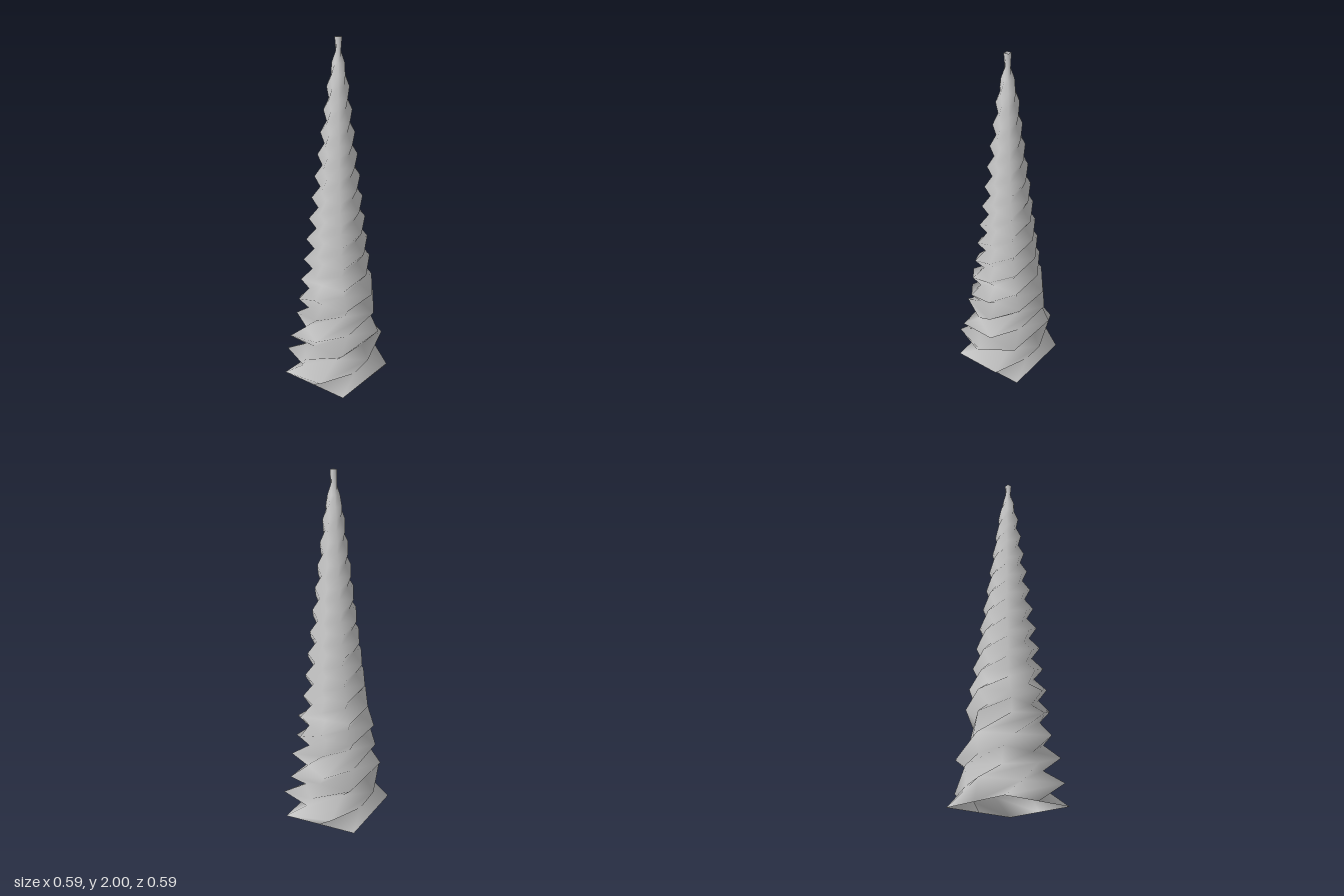
import * as THREE from 'three';

const SIDE = 2; // points along each side of the square section

// Square ring of points, turned about the axis and drifting slightly off centre
function squareRing(y, radius) {
  const turn = Math.PI / 4 + 4 * Math.PI * y; // four full turns over the height
  const points = [];
  for (let k = 0; k < 4; k++) {
    const a = turn + k * Math.PI / 2, b = a + Math.PI / 2;
    for (let i = 0; i < SIDE; i++) {
      const t = i / SIDE;
      const x = radius * (Math.cos(a) * (1 - t) + Math.cos(b) * t);
      const z = -radius * (Math.sin(a) * (1 - t) + Math.sin(b) * t);
      points.push(x + 0.005 * y, y, z - 0.0035 * y);
    }
  }
  return points;
}

// Skin over successive rings, open at both ends; the short diagonals keep the core full
function loft(rings) {
  const n = SIDE * 4, index = [];
  for (let r = 0; r < rings.length - 1; r++) {
    for (let i = 0; i < n; i++) {
      const a = r * n + i, b = r * n + (i + 1) % n;
      index.push(a, b, a + n, b, b + n, a + n);
    }
  }
  const geometry = new THREE.BufferGeometry();
  geometry.setAttribute('position', new THREE.Float32BufferAttribute(rings.flat(), 3));
  geometry.setIndex(index);
  geometry.computeVertexNormals();
  return geometry;
}

export function createModel() {
  const group = new THREE.Group();
  group.name = 'twistedSpire';

  // Broad, uneven lower coils: [height, corner radius]
  const sections = [[0, 0.313], [0.092, 0.317], [0.178, 0.262], [0.247, 0.278],
    [0.33, 0.272], [0.45, 0.245], [0.51, 0.228], [0.572, 0.237]];

  // Regular upper coils, tapering to the tip
  const taper = y => y < 1.8 ? 0.204 - 0.15 * (y - 0.69) / 1.11 : 0.054 - 0.034 * Math.min(1, (y - 1.8) / 0.12);
  for (let y = 0.63; y < 1.96; y += 0.0618) sections.push([y, taper(y)]);
  sections.push([2, 0.02]);

  const material = new THREE.MeshStandardMaterial({ color: 0xcccccc, side: THREE.DoubleSide });
  const spire = new THREE.Mesh(loft(sections.map(([y, r]) => squareRing(y, r))), material);
  spire.name = 'spiralBody';
  group.add(spire);
  return group;
}
